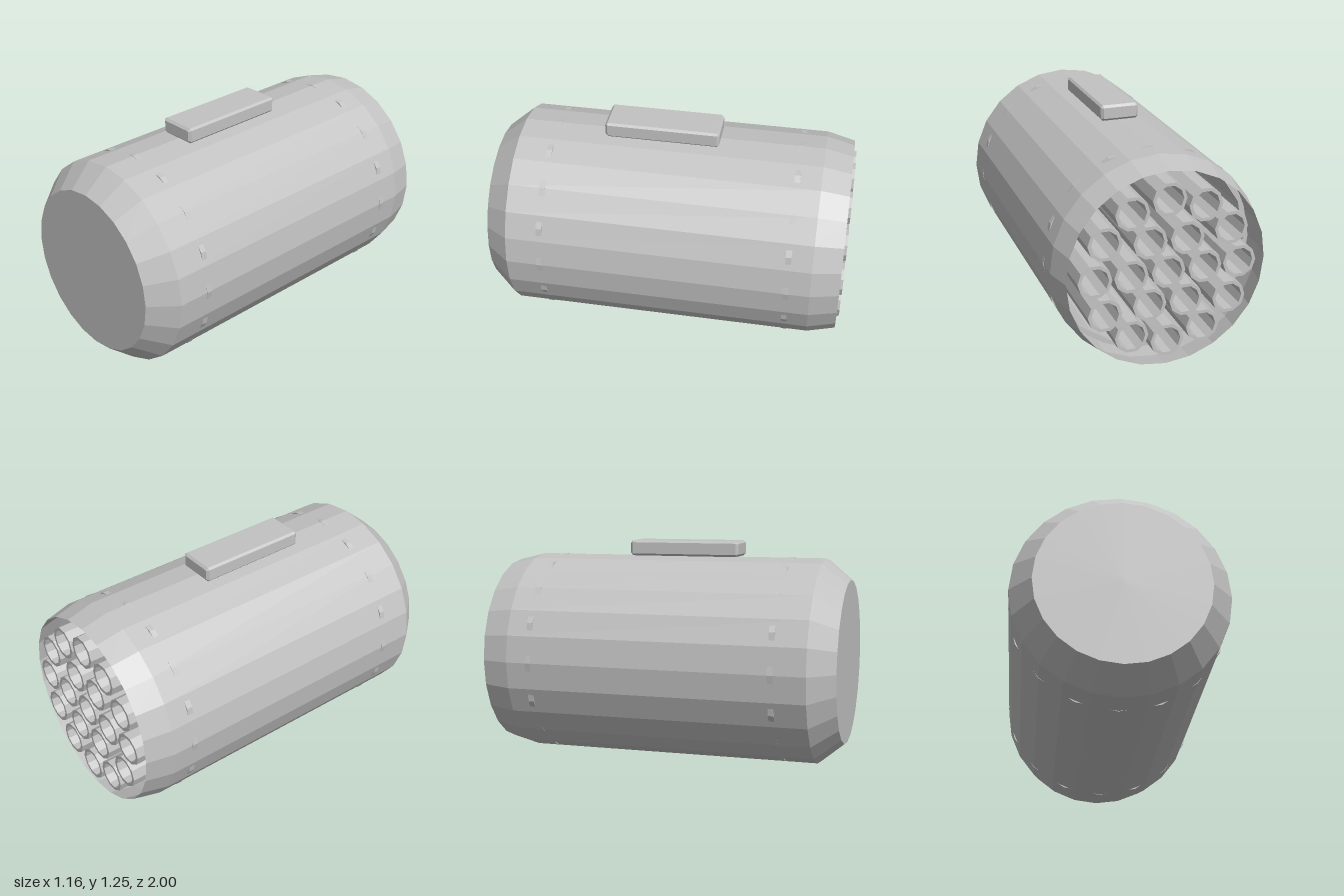
import * as THREE from 'three';

const CENTER_Y = 0.58;

export function createModel() {
  const model = new THREE.Group();
  const grey = new THREE.MeshStandardMaterial({ color: 0xc2c2c2, flatShading: true, side: THREE.DoubleSide });
  grey.name = 'metal grey';

  const add = (geometry, name, x = 0, y = CENTER_Y, z = 0) => {
    const mesh = new THREE.Mesh(geometry, grey);
    mesh.name = name;
    mesh.position.set(x, y, z);
    model.add(mesh);
    return mesh;
  };

  // Revolve [radius, z] pairs around the z axis
  const revolve = (profile, sides) =>
    new THREE.LatheGeometry(profile.map(([r, z]) => new THREE.Vector2(r, z)), sides).rotateX(Math.PI / 2);

  // Outer casing, open at the rear and closed by a flat nose
  add(revolve([[0.54, -0.985], [0.577, -0.83], [0.577, 0.86], [0.46, 1], [0, 1]], 24), 'casing');

  // Reinforcing bands whose corners just break through the casing
  const band = revolve([[0.55, -0.016], [0.58, -0.016], [0.58, 0.016], [0.55, 0.016], [0.55, -0.016]], 16);
  add(band, 'frontBand', 0, CENTER_Y, 0.67);
  add(band, 'rearBand', 0, CENTER_Y, -0.7);

  // Launch tubes: one in the middle, then rings of six and twelve
  const tube = revolve([[0.074, -1], [0.092, -1], [0.092, 0.84], [0.074, 0.84], [0.074, -1]], 10);
  tube.rotateZ(Math.PI / 2);
  const rings = [
    { count: 1, radius: 0, phase: 0 },
    { count: 6, radius: 0.2, phase: Math.PI / 6 },
    { count: 12, radius: 0.393, phase: 0 },
  ];
  for (const { count, radius, phase } of rings) {
    for (let i = 0; i < count; i++) {
      const a = phase + (i / count) * Math.PI * 2;
      add(tube, 'launchTube', radius * Math.sin(a), CENTER_Y + radius * Math.cos(a));
    }
  }

  // Mounting block on top, chamfered along every edge
  const c = 0.013, k = 0.004, hx = 0.107 - c, hy = 0.0435 - c, length = 0.635;
  const outline = new THREE.Shape([
    [-hx + k, -hy], [hx - k, -hy], [hx, -hy + k], [hx, hy - k],
    [hx - k, hy], [-hx + k, hy], [-hx, hy - k], [-hx, -hy + k],
  ].map(([x, y]) => new THREE.Vector2(x, y)));
  const block = new THREE.ExtrudeGeometry(outline, {
    depth: length - 2 * c, bevelEnabled: true, bevelSize: c, bevelThickness: c, bevelSegments: 1,
  });
  block.translate(0, 0, c - length / 2);
  add(block, 'mountingBlock', 0, 1.2035, 0.0625);

  return model;
}
